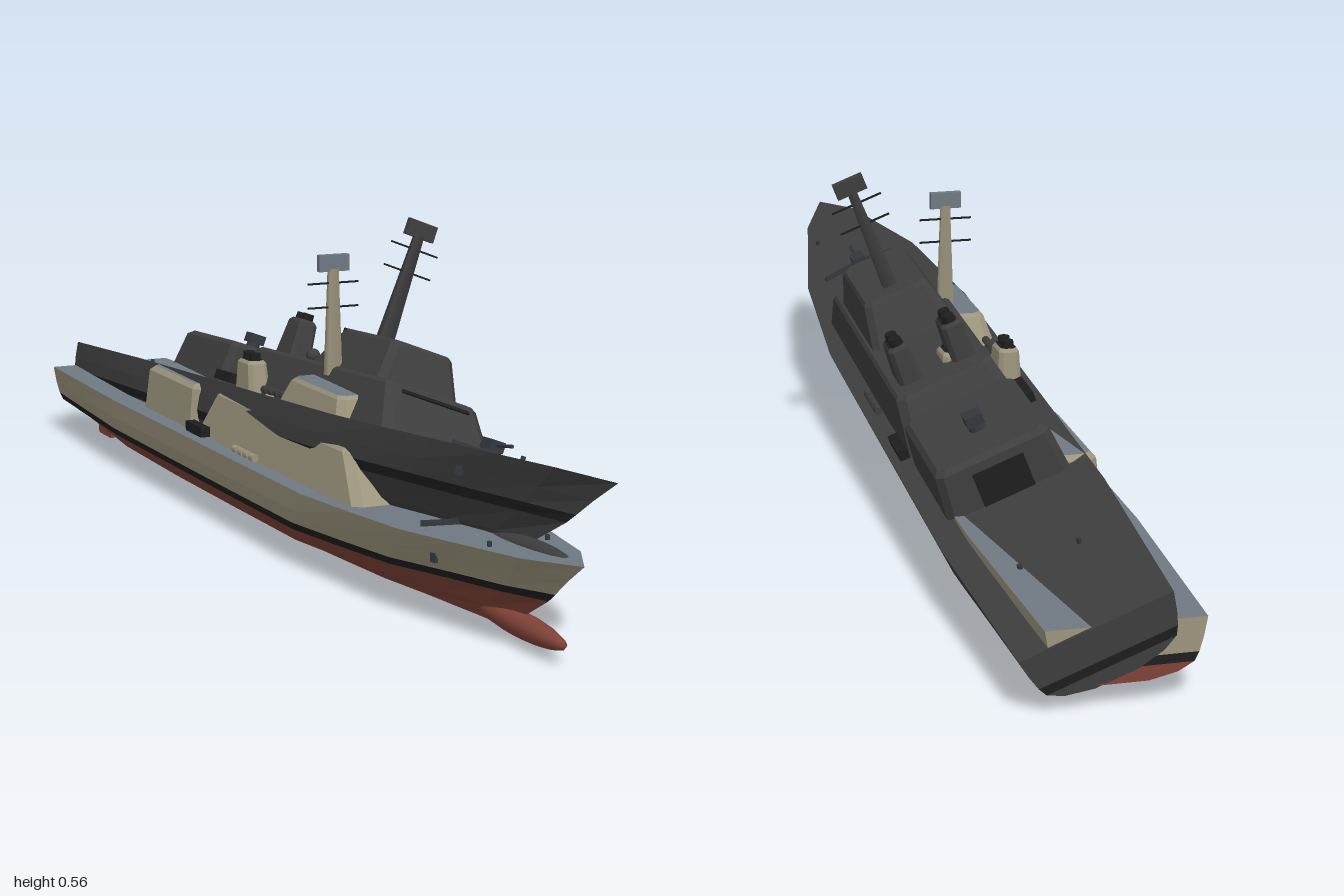
import * as THREE from 'three';

const mat = (name, color) => {
  const m = new THREE.MeshStandardMaterial({ color });
  m.name = name;
  return m;
};

// Piecewise-linear lookup through [input, output] pairs
const lerpTable = (table, v) => {
  for (let i = 1; i < table.length; i++) {
    const [a, fa] = table[i - 1], [b, fb] = table[i];
    if (v <= b) return fa + (fb - fa) * Math.max(0, (v - a) / (b - a));
  }
  return table[table.length - 1][1];
};

// Collects quads and fans into a flat-shaded mesh
class Faces {
  constructor() { this.p = []; }
  tri(a, b, c) { this.p.push(...a, ...b, ...c); }
  quad(a, b, c, d) { this.tri(a, b, c); this.tri(a, c, d); }
  mesh(name, material) {
    const g = new THREE.BufferGeometry();
    g.setAttribute('position', new THREE.Float32BufferAttribute(this.p, 3));
    g.computeVertexNormals();
    const m = new THREE.Mesh(g, material);
    m.name = name;
    return m;
  }
}

const mirror = ([x, y, z]) => [-x, y, z];
const STERN = -0.995;
const outline = [[-1, 0.88], [-0.6, 1], [0.3, 0.985], [0.62, 0.8], [0.9, 0.36], [1, 0]];
const stations = [-1, -0.8, -0.6, -0.3, 0, 0.3, 0.47, 0.62, 0.77, 0.9, 1];
// Hull rows from deck edge to keel: half width, mid y, bow y, stern y, bow z, fineness
const rows = [
  [0.142, 0.137, 0.165, 0.132, 1, 1],
  [0.139, 0.1, 0.13, 0.1, 0.95, 1.2],
  [0.134, 0.075, 0.102, 0.077, 0.915, 1.35],
  [0.127, 0.06, 0.087, 0.062, 0.895, 1.45],
  [0.1, 0.028, 0.045, 0.048, 0.82, 1.7],
  [0.045, 0, 0.012, 0.038, 0.72, 1.9],
];

function hullPoint([w, mid, bow, stern, bowZ, fine], s) {
  const t = Math.max(0, (s - 0.2) / 0.8), k = Math.max(0, (-s - 0.5) / 0.5);
  return [
    w * Math.pow(lerpTable(outline, s), fine),
    mid + (bow - mid) * t ** 1.5 + (stern - mid) * k,
    STERN + (bowZ - STERN) * (s + 1) / 2,
  ];
}

function buildHull(c) {
  const top = new Faces(), stripe = new Faces(), bottom = new Faces(), deck = new Faces();
  const bands = [top, top, stripe, bottom, bottom];
  const grid = rows.map(r => stations.map(s => hullPoint(r, s)));
  bands.forEach((f, j) => {
    const up = grid[j], lo = grid[j + 1];
    for (let i = 0; i < stations.length - 1; i++) {
      const q = [up[i], up[i + 1], lo[i + 1], lo[i]];
      f.quad(...q);
      f.quad(...q.map(mirror).reverse());
    }
    f.quad(up[0], lo[0], mirror(lo[0]), mirror(up[0])); // transom
  });
  const edge = grid[0], keel = grid[5];
  for (let i = 0; i < stations.length - 1; i++) {
    deck.quad(edge[i], mirror(edge[i]), mirror(edge[i + 1]), edge[i + 1]);
    bottom.quad(keel[i], keel[i + 1], mirror(keel[i + 1]), mirror(keel[i]));
  }
  return [top.mesh('hullSides', c.hull), stripe.mesh('waterline', c.stripe),
    bottom.mesh('hullBottom', c.bottom), deck.mesh('deck', c.deck)];
}

// Sloped block with chamfered corners; rings are [y, half width, back z, front z]
function block(name, rings, ch, sideMat, topMat) {
  const sides = new Faces(), roof = new Faces();
  const loops = rings.map(([y, w, b, f]) => [
    [w, y, f - ch], [w, y, b + ch], [w - ch, y, b], [ch - w, y, b],
    [-w, y, b + ch], [-w, y, f - ch], [ch - w, y, f], [w - ch, y, f]]);
  for (let r = 0; r < loops.length - 1; r++) {
    for (let k = 0; k < 8; k++) {
      const n = (k + 1) % 8;
      sides.quad(loops[r][k], loops[r][n], loops[r + 1][n], loops[r + 1][k]);
    }
  }
  const t = loops[loops.length - 1];
  for (let k = 1; k < 7; k++) roof.tri(t[0], t[k], t[k + 1]);
  const g = new THREE.Group();
  g.name = name;
  g.add(sides.mesh(name + 'Sides', sideMat), roof.mesh(name + 'Roof', topMat));
  return g;
}

function buildShip(name, c) {
  const ship = new THREE.Group();
  ship.name = name;
  const add = (part, geo, material, x, y, z, rx = 0, ry = 0, rz = 0) => {
    const m = new THREE.Mesh(geo, material);
    m.name = part;
    m.position.set(x, y, z);
    m.rotation.set(rx, ry, rz);
    ship.add(m);
    return m;
  };
  const box = (w, h, d) => new THREE.BoxGeometry(w, h, d);
  const cyl = (a, b, h, n = 12) => new THREE.CylinderGeometry(a, b, h, n);

  ship.add(...buildHull(c));
  add('bowBulb', new THREE.SphereGeometry(1, 16, 10), c.bottom, 0, 0.03, 0.81).scale.set(0.022, 0.02, 0.14);

  // Superstructure
  ship.add(block('deckhouse', [[0.13, 0.11, -0.255, 0.455], [0.216, 0.09, -0.197, 0.372],
    [0.222, 0.084, -0.19, 0.362]], 0.015, c.hull, c.deck));
  ship.add(block('bridge', [[0.22, 0.08, 0.03, 0.312], [0.287, 0.061, 0.072, 0.285],
    [0.293, 0.056, 0.08, 0.278]], 0.012, c.hull, c.deck));
  ship.add(block('hangar', [[0.125, 0.11, -0.515, -0.262], [0.21, 0.101, -0.509, -0.266],
    [0.219, 0.092, -0.5, -0.274]], 0.012, c.hull, c.deck));
  add('bridgeWindow', box(0.132, 0.007, 0.005), c.trim, 0, 0.21, 0.378, -0.77);
  add('hangarDoor', box(0.09, 0.06, 0.006), c.trim, 0, 0.165, -0.512, 0.07);

  // Mast with yards and radar
  const mast = add('mast', cyl(0.011, 0.019, 0.2, 4).rotateY(Math.PI / 4), c.hull, 0, 0.385, 0.125);
  mast.scale.z = 0.8;
  add('radar', box(0.056, 0.029, 0.012), c.deck, 0, 0.495, 0.125);
  for (const y of [0.418, 0.46]) add('yard', box(0.095, 0.003, 0.003), c.trim, 0, y, 0.125);

  // Paired fittings
  for (const s of [1, -1]) {
    const funnel = block('funnel', [[0.21, 0.022, -0.15, -0.07], [0.285, 0.018, -0.145, -0.085],
      [0.291, 0.014, -0.14, -0.09]], 0.007, c.hull, c.trim);
    funnel.position.x = s * 0.05;
    ship.add(funnel);
    for (const z of [-0.128, -0.102]) add('exhaust', cyl(0.01, 0.011, 0.014), c.trim, s * 0.05, 0.296, z);
    add('sensorDome', new THREE.SphereGeometry(0.013, 12, 8), c.hull, s * 0.05, 0.232, -0.03);
    add('boat', box(0.018, 0.018, 0.075), c.trim, s * 0.118, 0.15, -0.21);
    for (let i = 0; i < 4; i++) {
      add('raftCanister', cyl(0.007, 0.007, 0.018, 8), c.hull, s * 0.117, 0.147, -0.03 + i * 0.025, Math.PI / 2);
    }
    const p = hullPoint(rows[1], 0.72);
    add('anchor', box(0.006, 0.022, 0.012), c.steel, s * p[0], p[1], p[2], 0, -s * 0.25);
    add('breakwater', box(0.078, 0.01, 0.004), c.steel, s * 0.037, 0.152, 0.625, 0, -s * -0.22);
    add('rudder', box(0.008, 0.04, 0.07), c.bottom, s * 0.055, 0.025, -0.87);
    for (const z of [0.8, -0.75]) add('bollard', cyl(0.004, 0.004, 0.01, 8), c.steel, s * 0.05, z > 0 ? 0.158 : 0.139, z);
  }

  // Foredeck gun
  add('gunBase', cyl(0.016, 0.018, 0.016), c.steel, 0, 0.153, 0.61);
  add('gunHouse', box(0.026, 0.018, 0.034), c.steel, 0, 0.168, 0.608);
  add('gunBarrel', cyl(0.003, 0.003, 0.05, 8), c.steel, 0, 0.172, 0.645, Math.PI / 2 - 0.1);

  // Aft gun on the hangar roof
  add('aftGunBase', cyl(0.012, 0.014, 0.014), c.steel, 0, 0.225, -0.41);
  add('aftGunHouse', box(0.03, 0.018, 0.03), c.steel, 0, 0.239, -0.41);
  return ship;
}

export function createModel() {
  const black = mat('black', 0x1e1e1e);
  const charcoal = mat('charcoal', 0x3e3e3e);
  const steel = mat('darkSteel', 0x34383d);
  const painted = {
    hull: mat('beige', 0x9c957d), deck: mat('blueGrey', 0x6f7982), bottom: mat('redBrown', 0x7f4238),
    stripe: black, trim: black, steel,
  };
  const plain = { hull: charcoal, deck: charcoal, bottom: charcoal, stripe: black, trim: black, steel };

  const model = new THREE.Group();
  model.name = 'twinShips';
  const upright = buildShip('paintedShip', painted);
  const heeled = buildShip('heeledShip', plain);
  upright.position.x = -0.038;
  // Second ship overlaps the first, heeled to its left with the bow lifted
  heeled.position.set(-0.038, 0.07, 0);
  heeled.rotation.set(-0.059, 0, -0.375);
  model.add(upright, heeled);
  return model;
}
